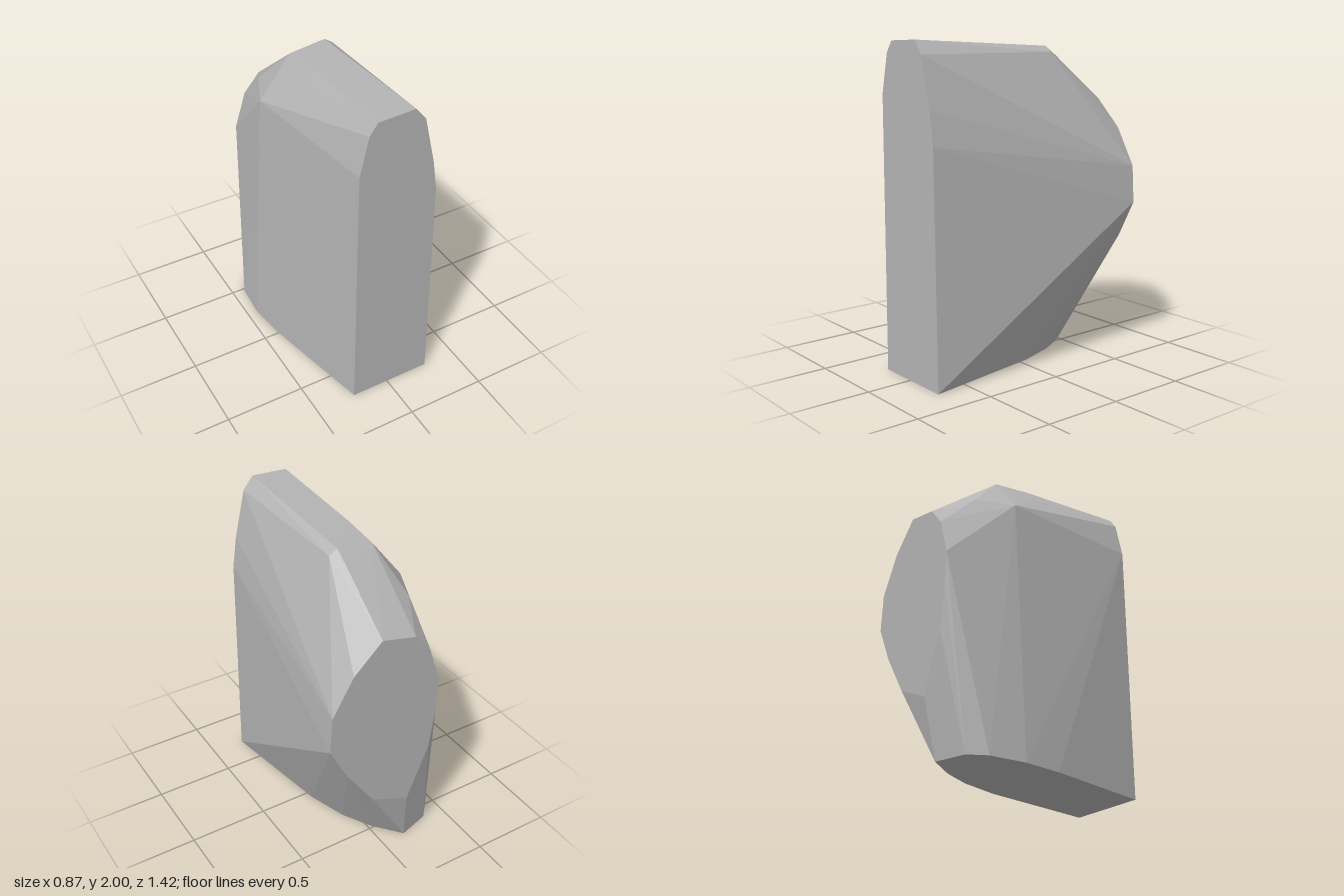
import * as THREE from 'three';
import { ConvexGeometry } from 'three/addons/geometries/ConvexGeometry.js';

// Faceted convex block described by its cross-sections
export function createModel() {
  const group = new THREE.Group();
  group.name = 'facetedBlock';

  // Flat front outline (x, y)
  const front = [
    [-0.24, 0], [-0.235, 1.68], [-0.18, 1.92], [-0.13, 1.99], [0.1, 2],
    [0.165, 1.92], [0.235, 1.62], [0.265, 1.42], [0.285, 0],
  ].map(([x, y]) => [x, y, 0.71]);

  // Flat back outline (x, y)
  const back = [
    [0.1, 1.6], [-0.12, 1.55], [-0.225, 1.43], [-0.3, 1.2], [-0.295, 0.98],
    [-0.26, 0.72], [-0.12, 0.37], [0.13, 0.48], [0.31, 0.74], [0.43, 0.97],
    [0.415, 1.2], [0.28, 1.43],
  ].map(([x, y]) => [x, y, -0.71]);

  // Curved rim of the base (x, z)
  const base = [
    [0.16, -0.05], [0.08, -0.3], [-0.02, -0.48], [-0.16, -0.65],
    [-0.36, -0.59], [-0.42, -0.48], [-0.435, -0.25], [-0.4, 0],
  ].map(([x, z]) => [x, 0, z]);

  // Corners where the top ridge breaks down towards the back
  const shoulder = [
    [0.1, 1.945, -0.25], [0.15, 1.91, -0.25], [0.1, 1.89, -0.33],
    [-0.13, 1.945, 0], [-0.13, 1.915, -0.25], [-0.19, 1.87, 0],
    [-0.335, 1.655, -0.25], [-0.23, 1.66, -0.48],
  ];

  const points = [...front, ...back, ...base, ...shoulder].map((p) => new THREE.Vector3(...p));
  const material = new THREE.MeshStandardMaterial({ color: 0xb4b4b4, flatShading: true });
  material.name = 'stone grey';
  const block = new THREE.Mesh(new ConvexGeometry(points), material);
  block.name = 'block';
  group.add(block);
  return group;
}
